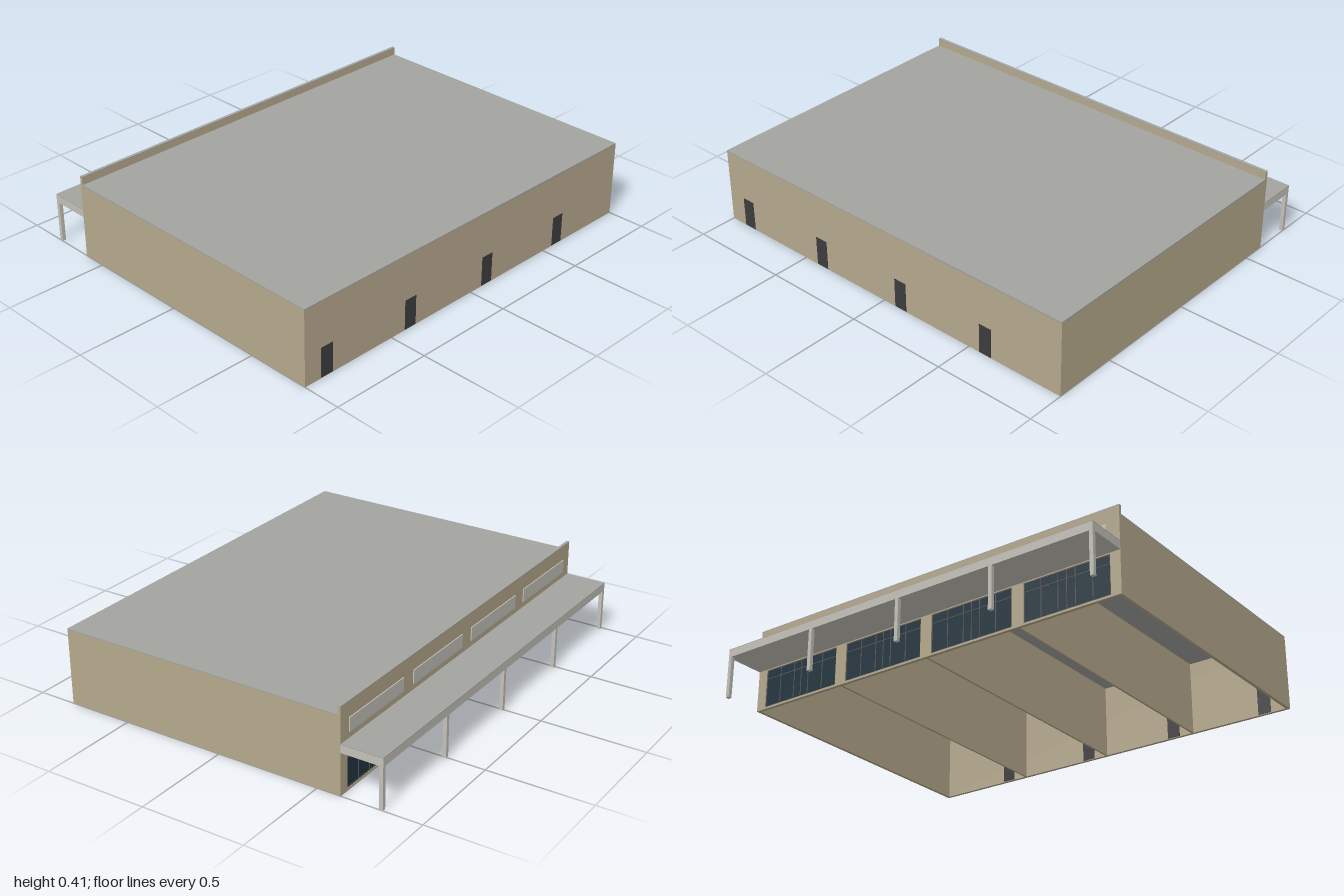
import * as THREE from 'three';

const mat = (color) => new THREE.MeshStandardMaterial({ color });

export function createModel() {
  const model = new THREE.Group();
  model.name = 'shopRow';
  const tan = mat(0xb5a88c), roofGrey = mat(0xa3a39e), light = mat(0xc3c1b8);
  const glass = mat(0x22343f), dark = mat(0x3c3c3f), frame = mat(0x55585a);

  // Box given by its extents on each axis
  function box(name, material, [x0, x1], [y0, y1], [z0, z1], parent = model) {
    const mesh = new THREE.Mesh(new THREE.BoxGeometry(x1 - x0, y1 - y0, z1 - z0), material);
    mesh.position.set((x0 + x1) / 2, (y0 + y1) / 2, (z0 + z1) / 2);
    mesh.name = name;
    parent.add(mesh);
    return mesh;
  }

  // Shell, open underneath
  const roofY = 0.37, t = 0.015, pitch = 0.49;
  const zBack = 0.815, zShop = -0.615;
  box('doorWall', tan, [-1, 1], [0, 0.365], [zBack - t, zBack]);
  for (const s of [-1, 1]) {
    const xs = [s, s * (1 - t)].sort((a, b) => a - b);
    box('sideWall', tan, xs, [0, 0.365], [zShop + t, zBack - t]);
  }
  for (const x of [-pitch, 0, pitch]) {
    box('partitionWall', tan, [x - 0.005, x + 0.005], [0, 0.36], [zShop + t, zBack - t]);
  }
  box('roof', roofGrey, [-1, 1], [0.36, roofY], [zShop + t, zBack]);

  // Shop facade with four openings, rising to a parapet
  const facade = new THREE.Shape();
  facade.moveTo(-1, 0).lineTo(1, 0).lineTo(1, 0.405).lineTo(-1, 0.405).closePath();
  const bays = [-1.5, -0.5, 0.5, 1.5].map((i) => i * pitch);
  const half = 0.215, sill = 0.01, head = 0.195;
  for (const x of bays) {
    const hole = new THREE.Path();
    hole.moveTo(x - half, sill).lineTo(x - half, head).lineTo(x + half, head).lineTo(x + half, sill).closePath();
    facade.holes.push(hole);
  }
  const wall = new THREE.Mesh(new THREE.ExtrudeGeometry(facade, { depth: t, bevelEnabled: false }), tan);
  wall.position.z = zShop;
  wall.name = 'shopFacade';
  model.add(wall);
  box('parapetCap', roofGrey, [-1, 1], [0.405, 0.41], [zShop, zShop + t]);

  // Glazing, frames, sign board and service door of each unit
  bays.forEach((x) => {
    const unit = new THREE.Group();
    unit.name = 'shopUnit';
    model.add(unit);
    box('glazing', glass, [x - half, x + half], [sill, head], [-0.609, -0.605], unit);
    for (const m of [-0.213, -0.128, -0.043, 0.0, 0.043, 0.128, 0.213]) {
      box('mullion', frame, [x + m - 0.002, x + m + 0.002], [sill, head], [-0.612, -0.603], unit);
    }
    for (const y of [sill, 0.15, head - 0.004]) {
      box('transom', frame, [x - half, x + half], [y, y + 0.004], [-0.612, -0.603], unit);
    }
    box('signBoard', light, [x - 0.205, x + 0.205], [0.27, 0.335], [-0.62, zShop], unit);
    box('serviceDoor', dark, [x - 0.175, x - 0.11], [0.003, 0.147], [0.798, 0.817], unit);
  });

  // Canopy on five posts
  box('canopy', light, [-1, 1], [0.2, 0.238], [-0.815, zShop]);
  box('canopyTop', roofGrey, [-1, 1], [0.238, 0.241], [-0.815, zShop]);
  for (let i = -2; i <= 2; i++) {
    const x = i * 0.4955;
    box('canopyPost', light, [x - 0.009, x + 0.009], [0, 0.2], [-0.815, -0.797]);
  }
  return model;
}
